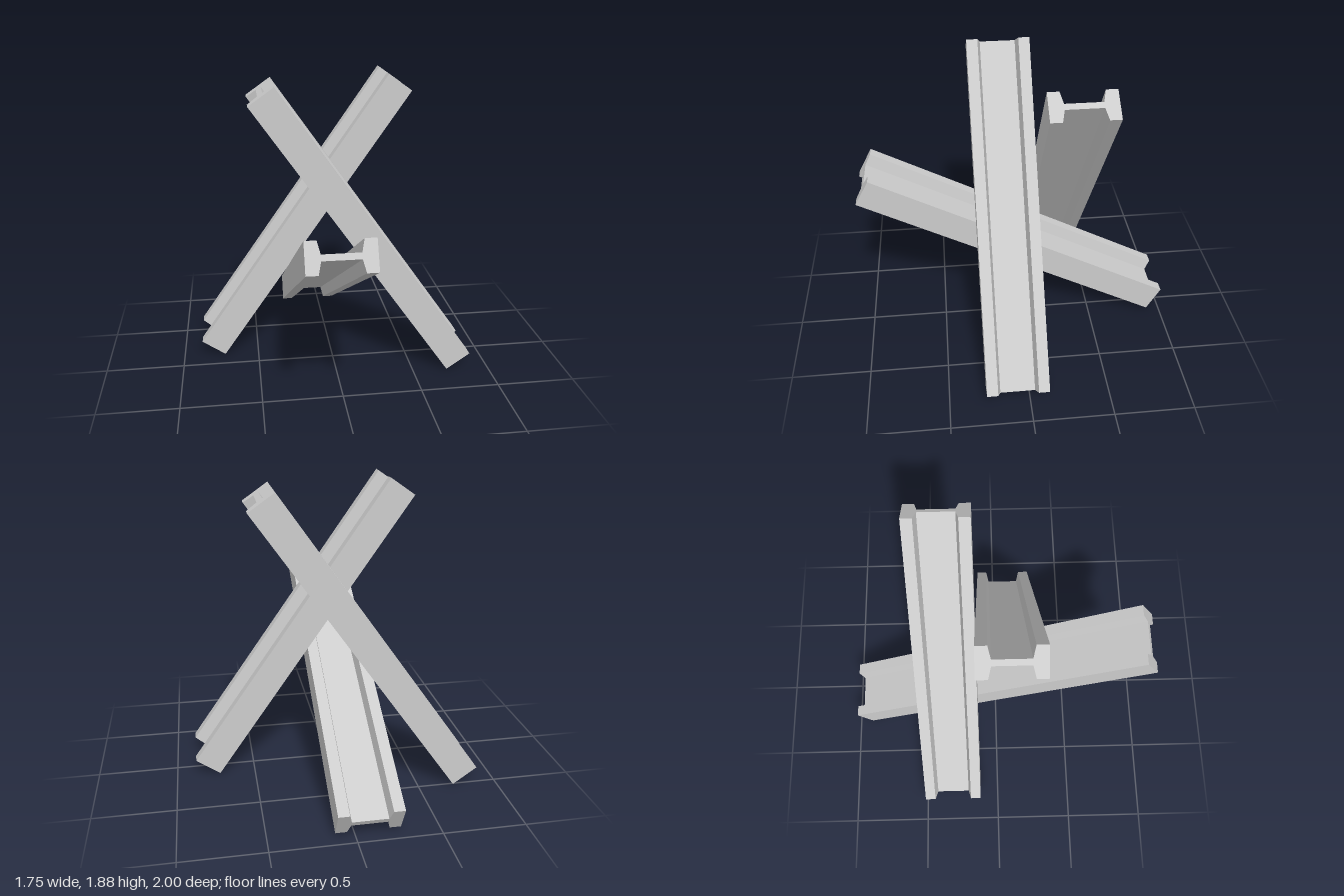
import * as THREE from 'three';

const LENGTH = 2.172;
const HALF_WIDTH = 0.193;  // across the two flanges
const HALF_FLANGE = 0.0915;
const HALF_WEB = 0.018;
const TIP = 0.125;         // inner face of a flange at its tip
const ROOT = 0.108;        // inner face of a flange at the web

// I-section with tapered flanges, extruded and centred along z
function beamGeometry() {
  const quarter = [[HALF_WIDTH, HALF_FLANGE], [TIP, HALF_FLANGE], [ROOT, HALF_WEB]];
  const flipped = [...quarter].reverse();
  const outline = [
    ...quarter,
    ...flipped.map(([x, y]) => [-x, y]),
    ...quarter.map(([x, y]) => [-x, -y]),
    ...flipped.map(([x, y]) => [x, -y]),
  ].map(([x, y]) => new THREE.Vector2(x, y));
  const geometry = new THREE.ExtrudeGeometry(new THREE.Shape(outline), { depth: LENGTH, bevelEnabled: false });
  return geometry.translate(0, 0, -LENGTH / 2);
}

export function createModel() {
  const group = new THREE.Group();
  group.name = 'beamObstacle';
  const geometry = beamGeometry();
  const material = new THREE.MeshStandardMaterial({ color: 0xcccccc, flatShading: true });

  // across: axis from flange to flange; along: axis of the beam
  function addBeam(name, center, across, along) {
    const x = new THREE.Vector3(...across);
    const z = new THREE.Vector3(...along).normalize();
    const y = new THREE.Vector3().crossVectors(z, x);
    const beam = new THREE.Mesh(geometry, material);
    beam.name = name;
    beam.quaternion.setFromRotationMatrix(new THREE.Matrix4().makeBasis(x, y, z));
    beam.position.set(...center);
    group.add(beam);
  }

  // Two crossed upright beams and one sloping brace
  addBeam('frontCrossBeam', [0.178, 0.947, 0.077], [0, 0, 1], [-1.245, 1.78, 0]);
  addBeam('rearCrossBeam', [-0.178, 0.947, -0.315], [0, 0, 1], [1.245, 1.78, 0]);
  addBeam('braceBeam', [-0.08, 0.617, 0], [1, 0, 0], [0, 1.035, 1.91]);

  return group;
}
